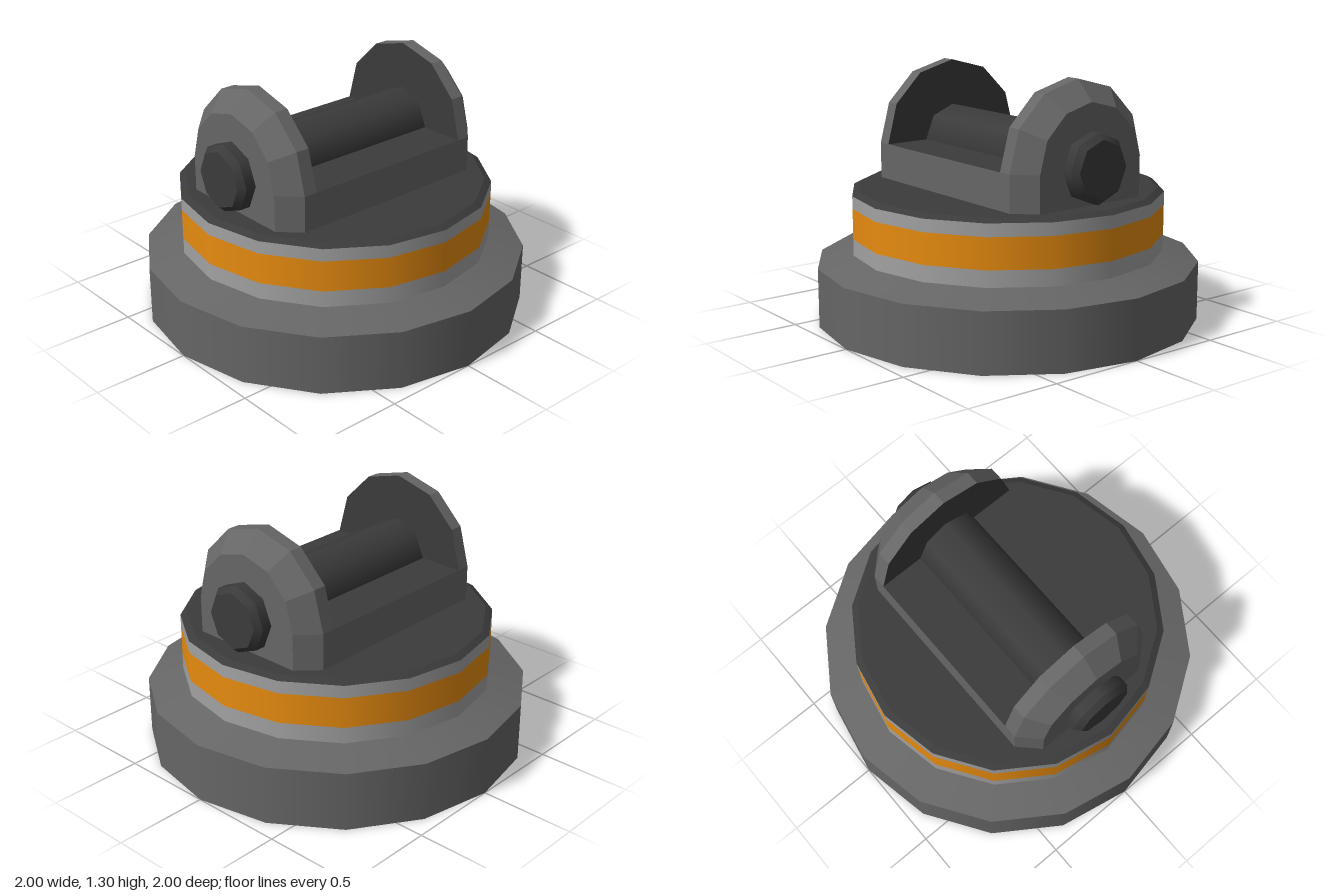
import * as THREE from 'three';

const mat = (name, color, opts = {}) => {
  const m = new THREE.MeshStandardMaterial({ color, ...opts });
  m.name = name;
  return m;
};

export function createModel() {
  const both = { side: THREE.DoubleSide };
  const grey = mat('mid grey', 0x666666, both);
  const light = mat('light grey', 0xa2a2a2, both);
  const orange = mat('orange', 0xe88c10, both);
  const dark = mat('dark grey', 0x3b3b3b, both);

  const model = new THREE.Group();
  const add = (parent, name, geometry, material) => {
    const mesh = new THREE.Mesh(geometry, material);
    mesh.name = name;
    parent.add(mesh);
    return mesh;
  };

  // One 16-sided ring between two (radius, height) points
  const ring = (name, r0, y0, r1, y1, material) => add(model, name,
    new THREE.LatheGeometry([new THREE.Vector2(r0, y0), new THREE.Vector2(r1, y1)], 16), material);

  // Hollow base and drum, open underneath
  ring('baseWall', 1, 0, 1, 0.31, grey);
  ring('baseSlope', 1, 0.31, 0.815, 0.367, grey);
  ring('drumLower', 0.815, 0.367, 0.815, 0.452, light);
  ring('drumStripe', 0.815, 0.452, 0.815, 0.612, orange);
  ring('drumUpper', 0.815, 0.612, 0.815, 0.678, light);
  ring('capBevel', 0.815, 0.678, 0.78, 0.697, dark);
  ring('capTop', 0.78, 0.697, 0, 0.697, dark);

  // Bracket: two round-topped arms joined by a low block
  const bracket = new THREE.Group();
  bracket.name = 'bracket';
  model.add(bracket);
  const axisY = 0.885, footY = 0.687, armR = 0.42, inner = 0.48;

  // Half-round outline as [z, y] pairs, running from +z to -z
  const arc = (r) => Array.from({ length: 7 }, (_, i) => {
    const a = (i * Math.PI) / 6;
    return [r * Math.cos(a), axisY + r * Math.sin(a)];
  });
  const outline = (r) => [[r, footY], ...arc(r), [-r, footY]];
  const face = (points, x, turn) => {
    const shape = new THREE.Shape(points.map(([z, y]) => new THREE.Vector2(z, y)));
    return new THREE.ShapeGeometry(shape).rotateY(turn).translate(x, 0, 0);
  };

  // Arm rim with bevelled outer edge
  const rows = [[inner, armR], [0.553, armR], [0.655, 0.318]]
    .map(([x, r]) => outline(r).map(([z, y]) => [x, y, z]));
  const verts = [];
  for (let k = 0; k < 2; k++) {
    const a = rows[k], b = rows[k + 1];
    for (let i = 0; i < a.length - 1; i++) {
      verts.push(...a[i], ...b[i], ...b[i + 1], ...a[i], ...b[i + 1], ...a[i + 1]);
    }
  }
  const rim = new THREE.BufferGeometry();
  rim.setAttribute('position', new THREE.Float32BufferAttribute(verts, 3));
  rim.computeVertexNormals();

  for (const [side, turn] of [['left', 0], ['right', Math.PI]]) {
    const half = new THREE.Group();
    half.name = side + 'Arm';
    half.rotation.y = turn;
    bracket.add(half);
    add(half, 'armRim', rim, grey);
    add(half, 'armOuterFace', face(outline(0.318), 0.655, Math.PI / 2), grey);
    add(half, 'armInnerFace', face(arc(armR), inner, -Math.PI / 2), dark);
    add(half, 'blockWall', new THREE.PlaneGeometry(2 * inner, axisY - footY)
      .translate(0, (axisY + footY) / 2, armR), grey);
  }
  add(bracket, 'blockTop', new THREE.PlaneGeometry(2 * inner, 2 * armR)
    .rotateX(-Math.PI / 2).translate(0, axisY, 0), dark);

  // Eight-sided pin with bevelled ends
  const pin = new THREE.Group();
  pin.name = 'pin';
  pin.position.y = axisY;
  pin.rotation.z = -Math.PI / 2;
  model.add(pin);
  const profile = [[0, -0.743], [0.148, -0.743], [0.178, -0.71], [0.178, 0.71], [0.148, 0.743], [0, 0.743]];
  const names = ['rightEnd', 'rightBevel', 'shaft', 'leftBevel', 'leftEnd'];
  names.forEach((name, i) => add(pin, name, new THREE.LatheGeometry(
    [profile[i], profile[i + 1]].map(([r, y]) => new THREE.Vector2(r, y)), 8), dark));

  return model;
}
